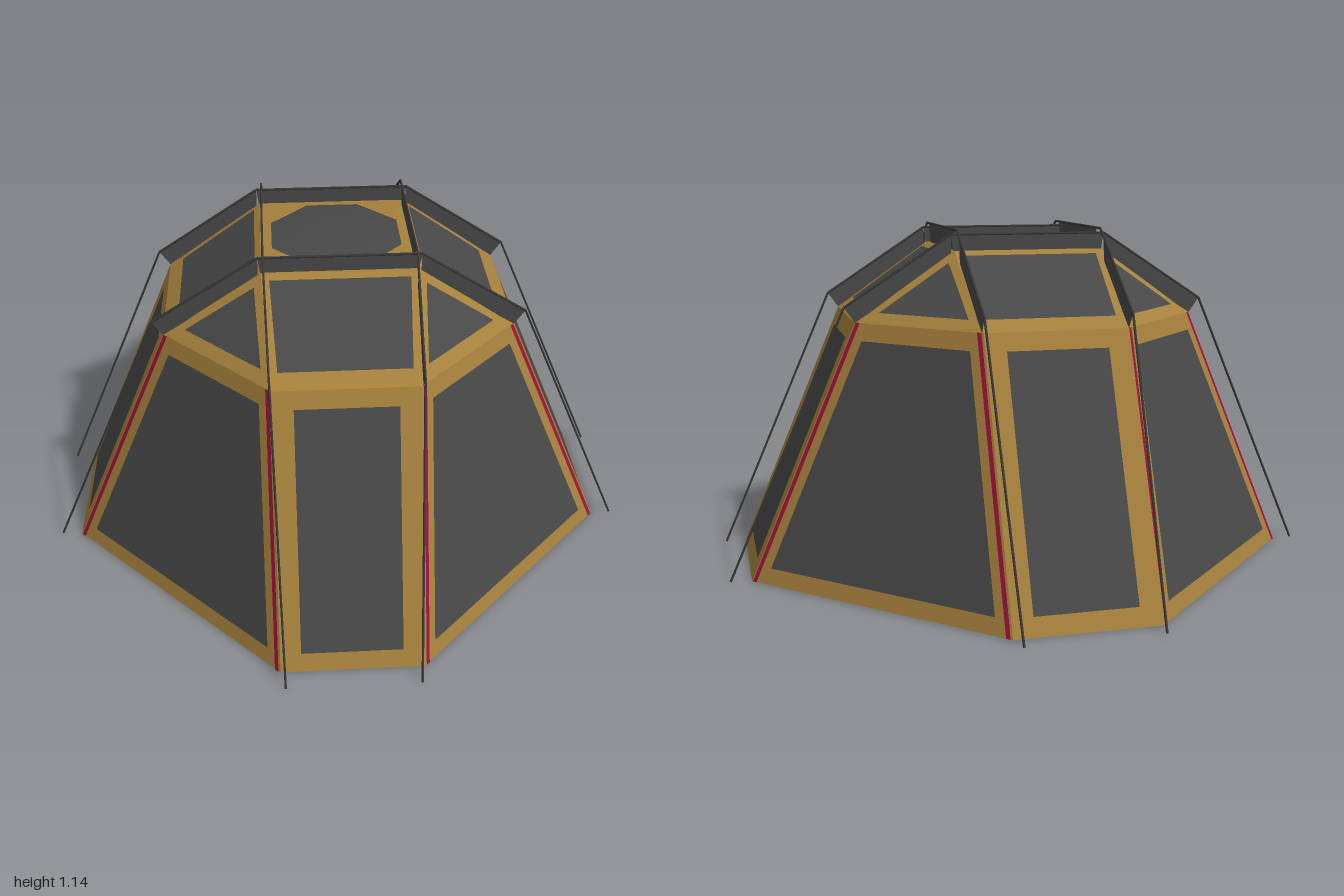
import * as THREE from 'three';

const material = (color) => new THREE.MeshStandardMaterial({ color, side: THREE.DoubleSide });
const V = (x, y, z) => new THREE.Vector3(x, y, z);

// Flat surface made of convex polygons, fanned into triangles
function polygons(name, polys, mat) {
  const pos = [];
  for (const p of polys)
    for (let i = 1; i < p.length - 1; i++)
      for (const v of [p[0], p[i], p[i + 1]]) pos.push(v.x, v.y, v.z);
  const g = new THREE.BufferGeometry();
  g.setAttribute('position', new THREE.Float32BufferAttribute(pos, 3));
  g.computeVertexNormals();
  const mesh = new THREE.Mesh(g, mat);
  mesh.name = name;
  return mesh;
}

const normalOf = (p) => p[1].clone().sub(p[0]).cross(p[2].clone().sub(p[1])).normalize();

// Move each edge of a polygon inwards by its own width
function inset(pts, widths) {
  const n = pts.length, normal = normalOf(pts);
  const dir = pts.map((p, i) => pts[(i + 1) % n].clone().sub(p).normalize());
  return pts.map((p, i) => {
    const j = (i + n - 1) % n;
    const sin = dir[j].clone().cross(dir[i]).dot(normal);
    return p.clone().addScaledVector(dir[i], widths[j] / sin).addScaledVector(dir[j], -widths[i] / sin);
  });
}

export function createModel() {
  const model = new THREE.Group();
  model.name = 'tent';
  const gold = material(0xa5803c), dark = material(0x484848);
  const red = material(0x9c1038), poleMat = material(0x383838);

  // Fabric panel: border strip around a dark inner sheet
  function panel(name, pts, widths) {
    const group = new THREE.Group();
    group.name = name;
    const inner = inset(pts, widths), n = pts.length;
    group.add(
      polygons(name + 'Border', pts.map((p, i) => [p, pts[(i + 1) % n], inner[(i + 1) % n], inner[i]]), gold),
      polygons(name + 'Sheet', [inner], dark));
    return group;
  }

  // Base ring, eaves ring and crown sizes
  const W = 0.23, B = 0.93, E = 0.575, EY = 0.84, C = 0.25, CY = 1.065;

  for (let k = 0; k < 4; k++) {
    const side = new THREE.Group();
    side.name = 'side' + (k + 1);
    side.rotation.y = k * Math.PI / 2;

    side.add(panel('narrowWall',
      [V(-W, 0, B), V(W, 0, B), V(W, EY, E), V(-W, EY, E)], [0.06, 0.067, 0.06, 0.067]));

    const wide = [V(W, 0, B), V(B, 0, W), V(E, EY, W), V(W, EY, E)];
    side.add(panel('wideWall', wide, [0.053, 0.053, 0.058, 0.053]));

    side.add(panel('roofPanel',
      [V(-W, EY, E), V(W, EY, E), V(C, CY, C), V(-C, CY, C)], [0.06, 0.024, 0.024, 0.024]));
    side.add(panel('cornerRoofPanel',
      [V(W, EY, E), V(E, EY, W), V(C, CY, C)], [0.045, 0.03, 0.03]));

    // Red piping along both side seams of the wide wall
    const lift = normalOf(wide).multiplyScalar(0.003);
    const a = inset(wide, [0, 0.006, 0, 0.006]).map((p) => p.add(lift));
    const b = inset(wide, [0, 0.021, 0, 0.021]).map((p) => p.add(lift));
    side.add(polygons('seamPiping', [[a[0], b[0], b[3], a[3]], [b[1], a[1], a[2], b[2]]], red));
    model.add(side);
  }

  // Crown: square border with an eight-sided, slightly domed window
  const ring = [];
  for (let i = 0; i < 8; i++) {
    const t = Math.PI / 8 + i * Math.PI / 4;
    ring.push(V(0.23 * Math.cos(t), CY + 0.003, -0.23 * Math.sin(t)));
  }
  const corners = [V(C, CY, -C), V(-C, CY, -C), V(-C, CY, C), V(C, CY, C)];
  const border = [];
  for (let i = 0; i < 4; i++) {
    const c = corners[i], next = corners[(i + 1) % 4];
    border.push([c, ring[2 * i + 1], ring[2 * i]]);
    border.push([c, next, ring[(2 * i + 2) % 8], ring[2 * i + 1]]);
  }
  model.add(polygons('crownBorder', border, gold));
  const dome = new THREE.Mesh(
    new THREE.LatheGeometry([[0.23, 0.003], [0.16, 0.012], [0.08, 0.018], [0, 0.02]]
      .map(([x, y]) => new THREE.Vector2(x, y)), 8, Math.PI / 8), dark);
  dome.name = 'crownWindow';
  dome.position.y = CY;
  model.add(dome);

  // Thin straight rod between two points
  function rod(p, q) {
    const d = q.clone().sub(p);
    const mesh = new THREE.Mesh(new THREE.CylinderGeometry(0.004, 0.004, d.length(), 6), poleMat);
    mesh.position.copy(p).addScaledVector(d, 0.5);
    mesh.quaternion.setFromUnitVectors(V(0, 1, 0), d.normalize());
    mesh.name = 'poleSection';
    return mesh;
  }

  // Four bent poles with fabric fins tying them to the roof
  function arch(place, topY, foot, finEnd, midTop, midLow) {
    const group = new THREE.Group();
    group.name = 'poleArch';
    const path = [[0.998, 0.002, foot], [0.61, 0.89, 0.235], [0.26, topY, 0.243]];
    for (const s of [1, -1]) {
      const p = path.map(([u, y, w]) => place(s * u, y, w));
      group.add(rod(p[0], p[1]), rod(p[1], p[2]));
      const t = (0.61 - finEnd) / 0.35;
      group.add(polygons('slopeFin', [[
        place(s * 0.61, 0.89, 0.235), place(s * finEnd, 0.89 + t * (topY - 0.89), 0.243),
        place(s * finEnd, EY + (0.575 - finEnd) / 0.325 * 0.21, 0.243), place(s * 0.575, EY, 0.235)]], dark));
    }
    group.add(rod(place(-0.26, topY, 0.243), place(0.26, topY, 0.243)));
    group.add(polygons('topFin', [[
      place(-midTop, topY, 0.243), place(midTop, topY, 0.243),
      place(midLow, 1.05, 0.243), place(-midLow, 1.05, 0.243)]], dark));
    model.add(group);
  }
  for (const m of [1, -1]) {
    arch((u, y, w) => V(u, y, m * w), 1.118, 0.225, 0.26, 0.26, 0.25);
    arch((u, y, w) => V(m * w, y, u), 1.133, 0.215, 0.3, 0.22, 0.195);
  }
  return model;
}
